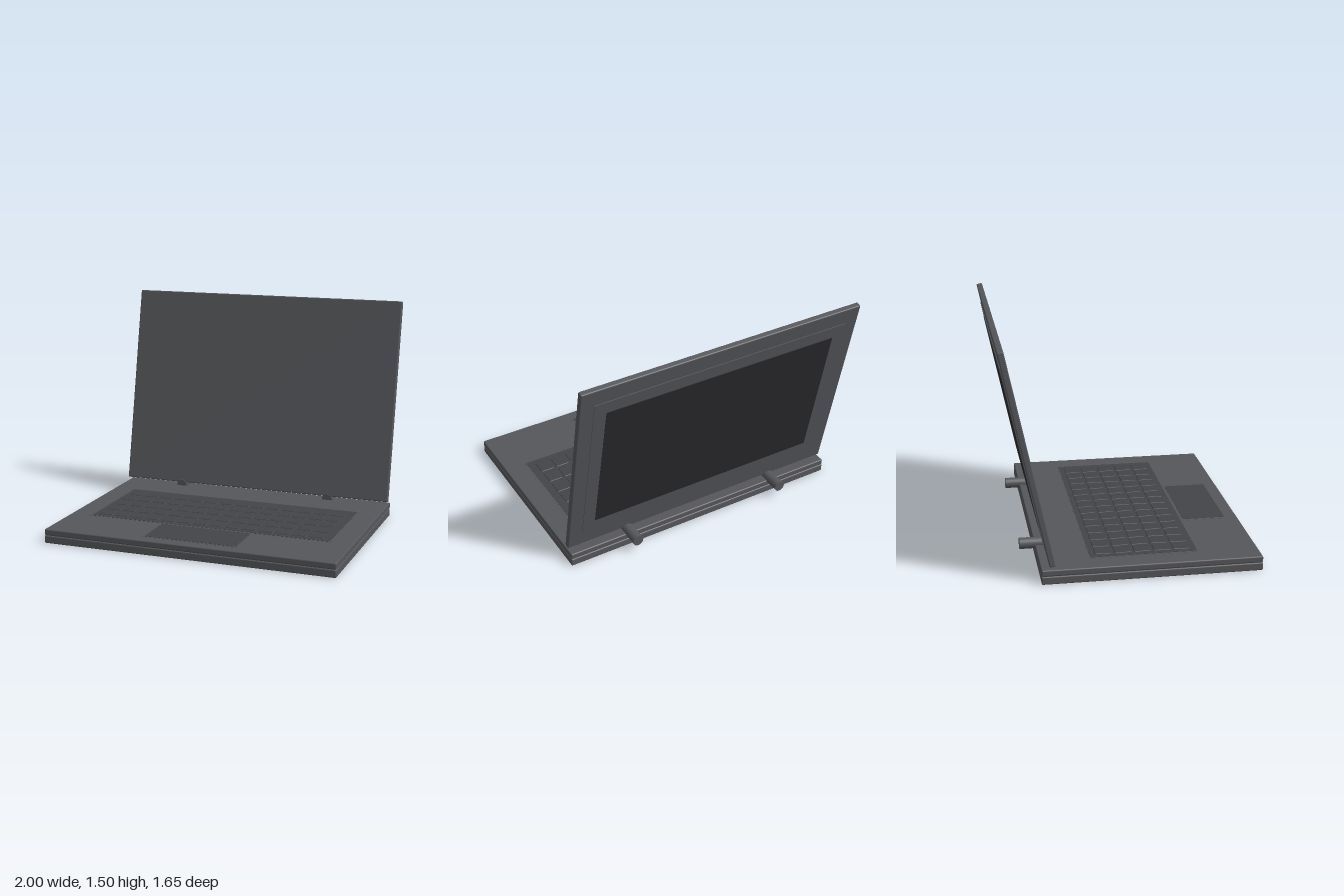
import * as THREE from 'three';
import { RoundedBoxGeometry } from 'three/addons/geometries/RoundedBoxGeometry.js';

const paint = (color) => new THREE.MeshStandardMaterial({ color });

export function createModel() {
  const model = new THREE.Group();
  model.name = 'laptop';
  const body = paint(0x56575b);
  const dark = paint(0x434448);
  const black = paint(0x2b2b2e);

  function add(parent, name, geometry, material, x, y, z) {
    const mesh = new THREE.Mesh(geometry, material);
    mesh.name = name;
    mesh.position.set(x, y, z);
    parent.add(mesh);
    return mesh;
  }
  const slab = (w, h, d, r) => new RoundedBoxGeometry(w, h, d, 2, r);

  // Two-layer body with a narrow seam between the layers
  add(model, 'base', slab(2, 0.053, 1.415, 0.008), body, 0, 0.0275, 0.122);
  add(model, 'seam', new THREE.BoxGeometry(1.985, 0.02, 1.4), dark, 0, 0.055, 0.122);
  add(model, 'deck', slab(2, 0.041, 1.415, 0.008), body, 0, 0.0765, 0.122);

  // Keyboard tray inside a thin rim
  add(model, 'keyboardRim', new THREE.BoxGeometry(1.72, 0.01, 0.71), body, 0, 0.093, 0.086);
  add(model, 'keyboardTray', new THREE.BoxGeometry(1.69, 0.01, 0.695), dark, 0, 0.0945, 0.086);

  // Keys: 5 rows of 14
  const keys = new THREE.Group();
  keys.name = 'keys';
  model.add(keys);
  const keyGeometry = slab(0.096, 0.016, 0.107, 0.005);
  for (let row = 0; row < 5; row++) {
    for (let col = 0; col < 14; col++) {
      add(keys, 'key', keyGeometry, dark, -0.76 + col * 0.1156, 0.096, -0.171 + row * 0.1275);
    }
  }

  // Touchpad inside a thin rim
  add(model, 'touchpadRim', new THREE.BoxGeometry(0.677, 0.01, 0.315), body, 0, 0.093, 0.598);
  add(model, 'touchpad', new THREE.BoxGeometry(0.63, 0.01, 0.29), dark, 0, 0.0945, 0.597);

  // Hinge barrels, running front to back
  const barrel = new THREE.CylinderGeometry(0.037, 0.037, 0.195, 24).rotateX(Math.PI / 2);
  for (const side of [-1, 1]) {
    add(model, 'hinge', barrel, body, side * 0.56, 0.102, -0.588);
  }

  // Tilted lid, with the bezel and screen on its rear face
  const lid = new THREE.Group();
  lid.name = 'lid';
  lid.position.set(0, 0.81, -0.661);
  lid.rotation.x = THREE.MathUtils.degToRad(-11.9);
  model.add(lid);
  add(lid, 'lidPanel', slab(2, 1.415, 0.04, 0.008), body, 0, 0, 0);
  add(lid, 'bezel', new THREE.BoxGeometry(1.81, 1.18, 0.01), body, 0, 0, -0.02);
  add(lid, 'screen', new THREE.BoxGeometry(1.64, 1.0, 0.01), black, 0, 0, -0.023);

  return model;
}
